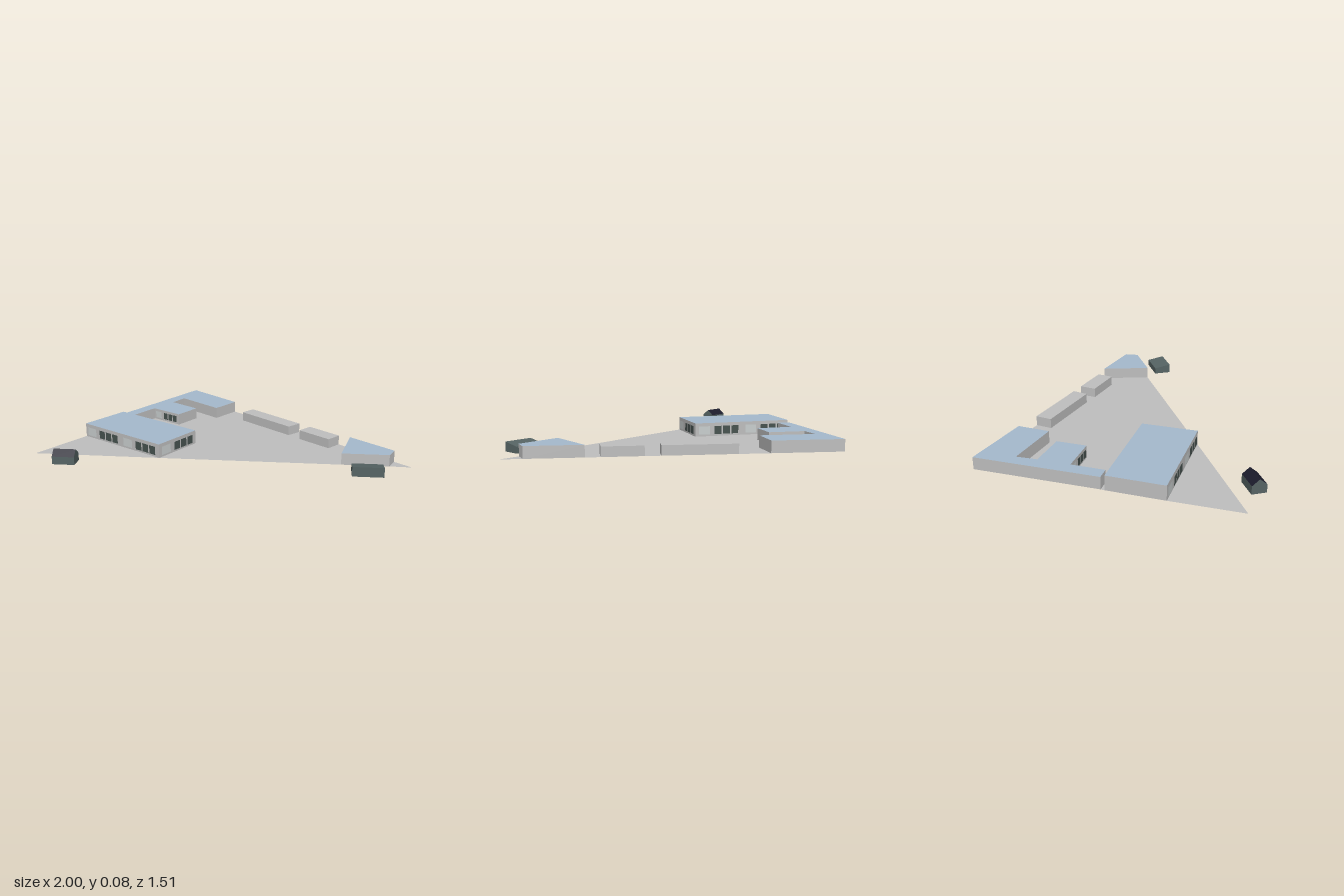
import * as THREE from 'three';

const mat = (name, color, side = THREE.DoubleSide) => {
  const m = new THREE.MeshStandardMaterial({ color, side });
  m.name = name;
  return m;
};

export function createModel() {
  const M = {
    paving: mat('pavingGrey', 0xbebebe),
    roof: mat('roofBlue', 0xa5b9cc),
    hut: mat('hutGreenGrey', 0x566464),
    hutRoof: mat('hutRoofNavy', 0x1c1c2c),
    panel: mat('panelPale', 0xc9cfcf),
    window: mat('windowDark', 0x46524f),
  };
  const model = new THREE.Group();
  model.name = 'siteModel';

  const add = (parent, name, geo, material) => {
    const mesh = new THREE.Mesh(geo, material);
    mesh.name = name;
    parent.add(mesh);
    return mesh;
  };
  // Horizontal polygon from [x, z] points
  const flat = (pts, y) => {
    const shape = new THREE.Shape(pts.map(([x, z]) => new THREE.Vector2(x, -z)));
    return new THREE.ShapeGeometry(shape).rotateX(-Math.PI / 2).translate(0, y, 0);
  };
  // Upright rectangle on the outside of edge a-b, spanning t0..t1 and y0..y1
  const upright = (a, b, y0, y1, t0 = 0, t1 = 1, out = 0) => {
    const dx = a[0] - b[0], dz = a[1] - b[1], len = Math.hypot(dx, dz), t = (t0 + t1) / 2;
    return new THREE.PlaneGeometry(len * (t1 - t0), y1 - y0)
      .rotateY(Math.atan2(-dz, dx))
      .translate(b[0] + dx * t - (dz / len) * out, (y0 + y1) / 2, b[1] + dz * t + (dx / len) * out);
  };

  // Footprints, all wound the same way
  const hall = [[-0.898, -0.04], [-0.278, 0.045], [-0.321, 0.364], [-0.947, 0.275]];
  const court = [[-0.797, -0.757], [-0.396, -0.639], [-0.433, -0.453], [-0.754, -0.537], [-0.765, -0.42],
    [-0.547, -0.377], [-0.572, -0.206], [-0.791, -0.238], [-0.818, -0.051], [-0.893, -0.061]];
  const longBlock = [[-0.225, -0.588], [0.182, -0.466], [0.15, -0.377], [-0.251, -0.495]];
  const shortBlock = [[0.267, -0.441], [0.492, -0.375], [0.465, -0.281], [0.241, -0.345]];
  const corner = [[0.572, -0.352], [0.882, -0.26], [0.882, -0.178], [0.636, -0.067]];

  // Ground, left open beneath the buildings
  const ground = new THREE.Group();
  ground.name = 'ground';
  model.add(ground);
  const notch = ([p, q, r, s]) => [q, r, s, p];
  add(ground, 'courtyardPaving', flat([
    hall[2], corner[3], corner[0], ...notch(shortBlock), ...notch(longBlock),
    ...court.slice(1), hall[0], hall[1],
  ], 0), M.paving);
  add(ground, 'frontPaving', flat([[-1, 0.666], hall[2], hall[3]], 0), M.paving);
  add(ground, 'tipPaving', flat([corner[2], [1, -0.226], corner[1]], 0), M.paving);

  // Buildings: one wall per edge and a flat roof
  const building = (name, pts, h, roofMat) => {
    const g = new THREE.Group();
    g.name = name;
    model.add(g);
    pts.forEach((a, i) => add(g, 'wall', upright(a, pts[(i + 1) % pts.length], 0, h), M.paving));
    add(g, 'roof', flat(pts, h), roofMat);
    return g;
  };
  const hallGroup = building('mainHall', hall, 0.083, M.roof);
  const courtGroup = building('courtBuilding', court, 0.07, M.roof);
  building('longBlock', longBlock, 0.057, M.paving);
  building('shortBlock', shortBlock, 0.057, M.paving);
  building('cornerBuilding', corner, 0.068, M.roof);

  // Facade bays: a pale entrance panel followed by three dark windows
  const facade = (g, a, b, bays, top) => {
    for (let i = 0; i < bays; i++) {
      const at = (t) => (i + t) / bays;
      add(g, 'entrancePanel', upright(a, b, 0.012, top, at(0.07), at(0.3), 0.003), M.panel);
      for (let k = 0; k < 3; k++) {
        const t = 0.4 + k * 0.18;
        add(g, 'window', upright(a, b, 0.012, top, at(t), at(t + 0.15), 0.003), M.window);
      }
    }
  };
  facade(hallGroup, hall[0], hall[1], 2, 0.063);
  facade(hallGroup, hall[1], hall[2], 1, 0.063);
  facade(hallGroup, hall[2], hall[3], 2, 0.063);
  facade(courtGroup, court[6], court[7], 1, 0.055);

  // Small huts: side profile [z, y] extruded along the length, roof edges coloured apart
  const hut = (name, x, z, length, profile, roofEdges, roofMat) => {
    const g = new THREE.Group();
    g.name = name;
    g.position.set(x, 0, z);
    g.rotation.y = 0.42;
    model.add(g);
    const shape = new THREE.Shape(profile.map(([pz, py]) => new THREE.Vector2(-pz, py)));
    for (const s of [-1, 1]) {
      add(g, 'endWall', new THREE.ShapeGeometry(shape).rotateY(Math.PI / 2).translate(s * length / 2, 0, 0), M.hut);
    }
    profile.forEach(([z0, y0], i) => {
      const [z1, y1] = profile[(i + 1) % profile.length];
      const geo = new THREE.PlaneGeometry(length, Math.hypot(z1 - z0, y1 - y0))
        .rotateX(Math.atan2(z1 - z0, y1 - y0))
        .translate(0, (y0 + y1) / 2, (z0 + z1) / 2);
      const isRoof = roofEdges.includes(i);
      add(g, isRoof ? 'roofSlope' : 'sideWall', geo, isRoof ? roofMat : M.hut);
    });
  };
  hut('gabledHut', -0.747, 0.686, 0.13,
    [[0.041, 0], [0.041, 0.046], [0, 0.08], [-0.041, 0.046], [-0.041, 0]], [1, 2], M.hutRoof);
  hut('leanToHut', 0.815, -0.014, 0.175,
    [[0.051, 0], [0.051, 0.056], [-0.051, 0.038], [-0.051, 0]], [1], M.hut);

  return model;
}
